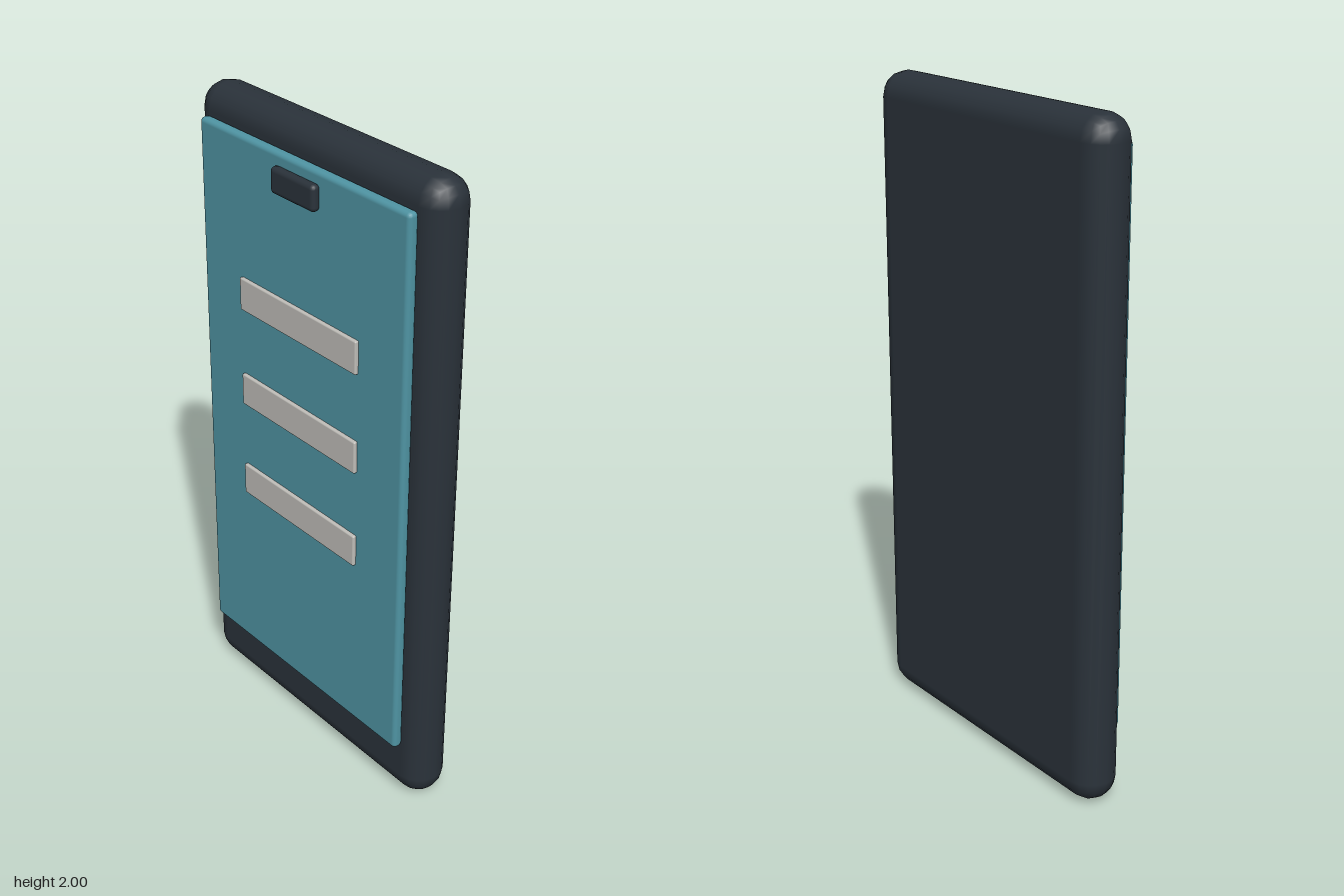
import * as THREE from 'three';
import { RoundedBoxGeometry } from 'three/addons/geometries/RoundedBoxGeometry.js';

const material = (color) => new THREE.MeshStandardMaterial({ color });

export function createModel() {
  const model = new THREE.Group();
  const dark = material(0x2a323a);
  const teal = material(0x4f94a3);
  const pale = material(0xbfbdb8);

  // Rounded slab given by its size, corner radius, centre height and front face
  function slab(name, width, height, depth, radius, y, frontZ, mat) {
    const mesh = new THREE.Mesh(new RoundedBoxGeometry(width, height, depth, 2, radius), mat);
    mesh.name = name;
    mesh.position.set(0, y, frontZ - depth / 2);
    model.add(mesh);
  }

  // Casing with fully rounded edges
  slab('body', 1.024, 2, 0.15, 0.075, 1, 0.045, dark);

  // Raised display, set above the chin
  slab('screen', 0.886, 1.72, 0.034, 0.014, 1.055, 0.076, teal);

  // Earpiece near the top of the display
  slab('speaker', 0.186, 0.078, 0.03, 0.014, 1.843, 0.101, dark);

  // Three raised bars on the display
  [1.44, 1.128, 0.816].forEach((y, i) =>
    slab(`screenBar${i + 1}`, 0.514, 0.102, 0.014, 0.005, y, 0.088, pale));

  return model;
}
